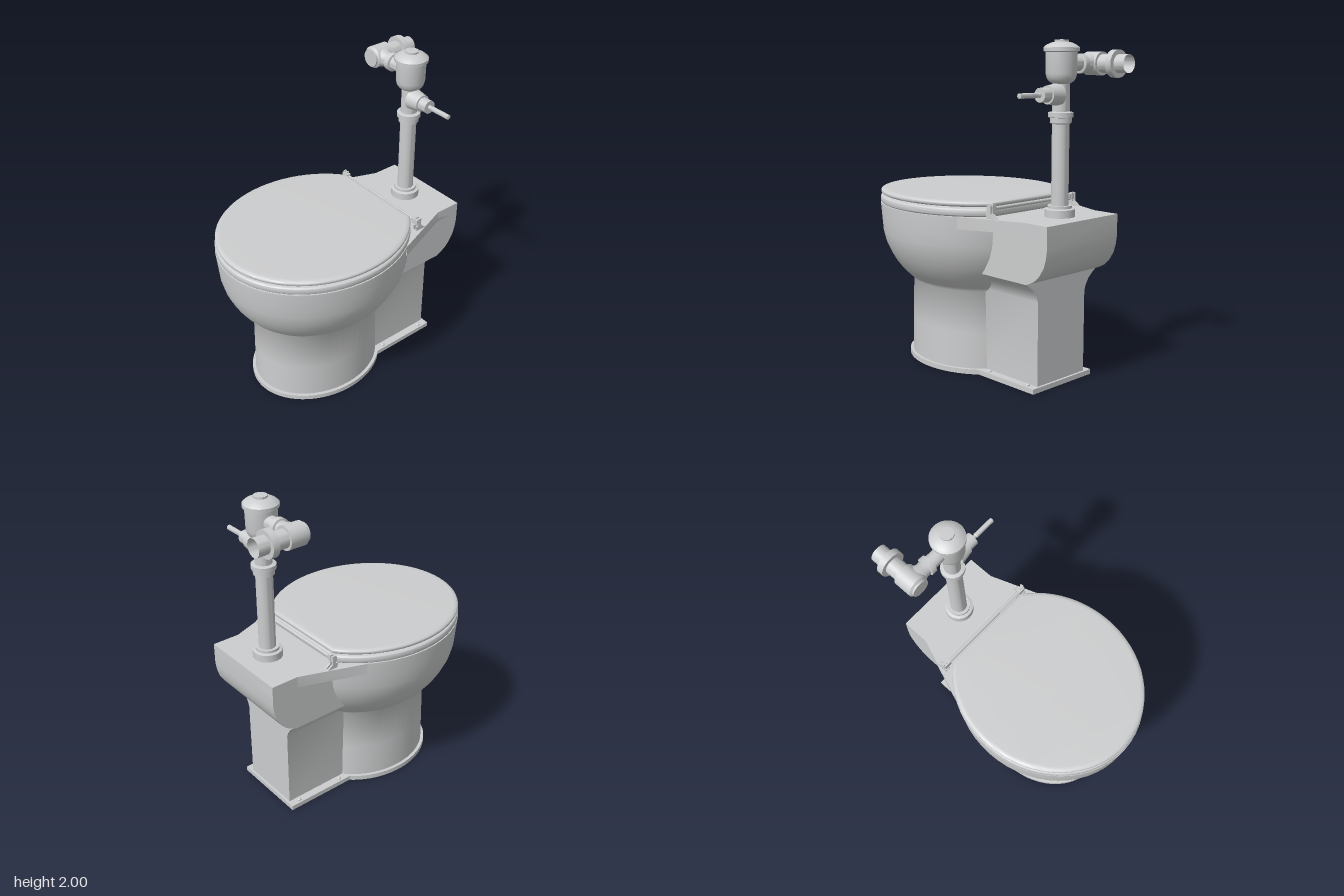
import * as THREE from 'three';
import { toCreasedNormals } from 'three/addons/utils/BufferGeometryUtils.js';

const CZ = 0.185; // centre of the bowl along z

const porcelain = new THREE.MeshStandardMaterial({ color: 0xcccdce, side: THREE.DoubleSide });
porcelain.name = 'light grey';

function add(group, name, geometry, crease = 0.6) {
  const mesh = new THREE.Mesh(toCreasedNormals(geometry, crease), porcelain);
  mesh.name = name;
  group.add(mesh);
  return mesh;
}

// Skin between rings of equal length, listed from bottom to top
function loft(rings, closed) {
  const n = rings[0].length;
  const index = [];
  for (let r = 0; r < rings.length - 1; r++) {
    for (let i = 0; i < (closed ? n : n - 1); i++) {
      const a = r * n + i, b = r * n + (i + 1) % n;
      index.push(a, a + n, b, b, a + n, b + n);
    }
  }
  const geometry = new THREE.BufferGeometry();
  geometry.setAttribute('position', new THREE.Float32BufferAttribute(rings.flat(2), 3));
  geometry.setIndex(index);
  return geometry;
}

// Points [x, z] of an ellipse arc, cut off where its back reaches half width w
function arc(rx, rz, w, steps = 56) {
  const start = -Math.acos(w / rx), sweep = Math.PI - 2 * start;
  return Array.from({ length: steps + 1 }, (_, i) => {
    const a = start + sweep * i / steps;
    return [rx * Math.cos(a), CZ + rz * Math.sin(a)];
  });
}

// Horizontal slab from [x, z] points, between two heights
function slab(points, y0, y1, bevelSize = 0, bevelThickness = 0, hole = null) {
  const toVec = (p) => new THREE.Vector2(p[0], -p[1]);
  const shape = new THREE.Shape(points.map(toVec));
  if (hole) shape.holes.push(new THREE.Path(hole.map(toVec)));
  const geometry = new THREE.ExtrudeGeometry(shape, {
    depth: y1 - y0 - 2 * bevelThickness,
    bevelEnabled: bevelSize > 0, bevelSize, bevelThickness, bevelOffset: -bevelSize, bevelSegments: 5,
  });
  return geometry.rotateX(-Math.PI / 2).translate(0, y0 + bevelThickness, 0);
}

// Turned part from [radius, distance] points, along the y, x, -x or z axis
function turned(points, axis = 'y') {
  const geometry = new THREE.LatheGeometry(points.map((p) => new THREE.Vector2(...p)), 32);
  if (axis === 'x') geometry.rotateZ(-Math.PI / 2);
  if (axis === '-x') geometry.rotateZ(Math.PI / 2);
  if (axis === 'z') geometry.rotateX(Math.PI / 2);
  return geometry;
}

function createBowl() {
  const group = new THREE.Group();
  group.name = 'bowl';

  // Column and basin: height, half width, half depth
  const rows = [
    [0, 0.35, 0.425], [0.25, 0.347, 0.42], [0.51, 0.342, 0.415], [0.535, 0.37, 0.437], [0.58, 0.418, 0.482],
    [0.63, 0.456, 0.522], [0.68, 0.485, 0.553], [0.75, 0.517, 0.585], [0.82, 0.534, 0.603],
    [0.9, 0.54, 0.61], [0.985, 0.546, 0.619], [1, 0.546, 0.619], [1, 0.01, 0.01],
  ];
  const ring = ([y, rx, rz]) => Array.from({ length: 56 }, (_, i) => {
    const a = i / 56 * Math.PI * 2;
    return [rx * Math.cos(a), y, CZ + rz * Math.sin(a)];
  });
  add(group, 'basin', loft(rows.map(ring), true), 1);

  // Rear pedestal swelling into the shelf: height, half width, back
  const pedestal = [
    [0, 0.2, -0.585], [0.53, 0.2, -0.585], [0.56, 0.21, -0.585], [0.6, 0.235, -0.585], [0.635, 0.275, -0.585],
    [0.65, 0.3, -0.585], [0.667, 0.3, -0.625], [0.685, 0.3, -0.655], [0.72, 0.3, -0.69],
    [0.77, 0.3, -0.72], [0.82, 0.3, -0.735], [0.87, 0.3, -0.742], [1, 0.3, -0.742],
  ];
  const bracket = ([y, w, back]) => [[-w, y, -0.1], [-w, y, back], [w, y, back], [w, y, -0.1]];
  add(group, 'rearPedestal', loft(pedestal.map(bracket), false), 0.7);

  // Flared shelf top
  add(group, 'shelf', slab([
    [0.3, -0.742], [-0.3, -0.742], [-0.3, -0.57], [-0.445, -0.175], [0.445, -0.175], [0.3, -0.57],
  ], 0.93, 1));

  // Floor flange with an open middle
  const footprint = (rx, rz, w, back) => [...arc(rx, rz, w), [-w, back], [w, back]];
  add(group, 'floorFlange', slab(footprint(0.37, 0.445, 0.25, -0.6), 0, 0.03, 0, 0,
    footprint(0.343, 0.418, 0.197, -0.58)));
  for (const x of [-0.225, 0.225]) {
    for (const z of [-0.21, -0.53]) {
      add(group, 'floorBolt', new THREE.SphereGeometry(0.014, 12, 8)).position.set(x, 0.03, z);
    }
  }
  return group;
}

function createSeat() {
  const group = new THREE.Group();
  group.name = 'seatAssembly';
  add(group, 'seat', slab(arc(0.547, 0.617, 0.31), 1, 1.048, 0.015, 0.015));
  add(group, 'lid', slab(arc(0.545, 0.612, 0.305), 1.055, 1.09, 0.03, 0.014));

  // Hinge rod with a bracket at each end
  add(group, 'hingeRod', new THREE.CylinderGeometry(0.011, 0.011, 0.7, 12).rotateZ(Math.PI / 2))
    .position.set(0, 1.055, -0.345);
  const side = new THREE.Shape([[0.325, 1.03], [0.36, 1.03], [0.4, 1], [0.33, 1]]
    .map((p) => new THREE.Vector2(...p)));
  for (const s of [-1, 1]) {
    add(group, 'hingeKnuckle', new THREE.BoxGeometry(0.05, 0.035, 0.03)).position.set(s * 0.335, 1.055, -0.345);
    for (const x of [0.335, 0.357]) {
      const foot = new THREE.ExtrudeGeometry(side, { depth: 0.01, bevelEnabled: false });
      add(group, 'hingeFoot', foot.rotateY(Math.PI / 2)).position.x = s * x - 0.005;
      add(group, 'hingePost', new THREE.BoxGeometry(0.01, 0.08, 0.022)).position.set(s * x, 1.04, -0.352);
    }
  }
  return group;
}

function createFlushValve() {
  const group = new THREE.Group();
  group.name = 'flushValve';
  group.position.z = -0.56;

  // Upright pipe, coupling and valve body
  add(group, 'spud', turned([[0, 1], [0.088, 1], [0.088, 1.045], [0.07, 1.05], [0.07, 1.065], [0.05, 1.065]]));
  add(group, 'flushPipe', turned([[0.05, 1.05], [0.05, 1.78]]));
  add(group, 'coupling', turned([
    [0.05, 1.53], [0.062, 1.535], [0.062, 1.565], [0.072, 1.568], [0.072, 1.595], [0.05, 1.6],
  ]));
  add(group, 'valveBody', turned([
    [0.05, 1.755], [0.07, 1.768], [0.082, 1.785], [0.088, 1.81], [0.09, 1.93],
    [0.102, 1.935], [0.102, 1.955], [0.085, 1.97], [0.06, 1.982], [0.04, 1.986], [0.04, 1.998], [0, 2],
  ]));

  // Handle to the left
  add(group, 'handle', turned([
    [0.065, 0.03], [0.052, 0.11], [0.052, 0.115], [0.041, 0.115], [0.041, 0.175],
    [0.014, 0.175], [0.011, 0.195], [0.015, 0.2], [0.015, 0.335], [0, 0.34],
  ], 'x')).position.y = 1.695;

  // Cross pipe to the right
  add(group, 'crossPipe', turned([
    [0.042, 0.07], [0.042, 0.145], [0.056, 0.148], [0.056, 0.18], [0.045, 0.183], [0.045, 0.21], [0.056, 0.235],
    [0.056, 0.29],
  ], '-x')).position.y = 1.865;

  // Stop valve and supply stub, open toward the wall
  add(group, 'supplyStop', turned([
    [0.053, -0.25], [0.053, -0.18], [0.08, -0.18], [0.08, -0.14], [0.053, -0.14], [0.053, -0.06],
    [0.068, -0.06], [0.068, 0.05], [0.055, 0.06], [0.055, 0.07], [0, 0.07],
  ], 'z')).position.set(-0.288, 1.865, 0);
  return group;
}

export function createModel() {
  const model = new THREE.Group();
  model.name = 'toilet';
  model.add(createBowl(), createSeat(), createFlushValve());
  return model;
}
